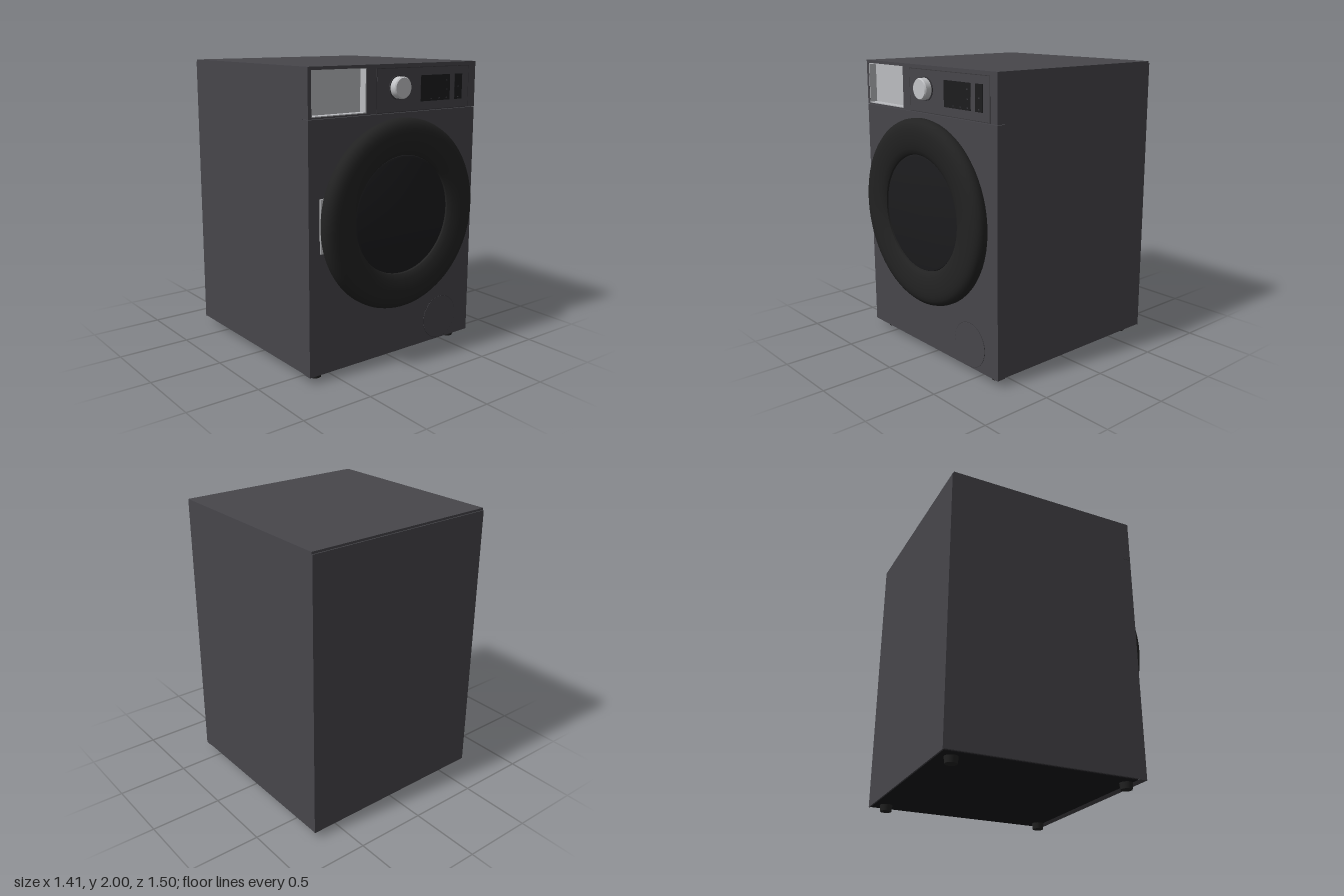
import * as THREE from 'three';
import { toCreasedNormals } from 'three/addons/utils/BufferGeometryUtils.js';

const mat = (name, color, side = THREE.FrontSide) => {
  const m = new THREE.MeshStandardMaterial({ color, side });
  m.name = name;
  return m;
};

export function createModel() {
  const casing = mat('casing grey', 0x47464b);
  const black = mat('door black', 0x222222);
  const glass = mat('glass black', 0x1c1c1e);
  const underside = mat('underside black', 0x18181a);
  const silver = mat('silver', 0xc4c5c8);
  const light = mat('drawer grey', 0xbbbcc0);
  const seam = mat('seam', 0x38373b);

  const group = new THREE.Group();
  group.name = 'washingMachine';
  const add = (name, geo, material, x = 0, y = 0, z = 0) => {
    const mesh = new THREE.Mesh(geo, material);
    mesh.name = name;
    mesh.position.set(x, y, z);
    group.add(mesh);
    return mesh;
  };
  // Box given by its limits
  const box = (name, material, x0, x1, y0, y1, z0, z1) =>
    add(name, new THREE.BoxGeometry(x1 - x0, y1 - y0, z1 - z0), material,
      (x0 + x1) / 2, (y0 + y1) / 2, (z0 + z1) / 2);
  const rect = (P, x0, x1, y0, y1) => new P([
    new THREE.Vector2(x0, y0), new THREE.Vector2(x1, y0),
    new THREE.Vector2(x1, y1), new THREE.Vector2(x0, y1)]);
  // Rectangular frame with a rectangular hole
  const frame = (name, material, outer, inner, z0, z1) => {
    const shape = rect(THREE.Shape, ...outer);
    shape.holes.push(rect(THREE.Path, ...inner));
    return add(name, new THREE.ExtrudeGeometry(shape,
      { depth: z1 - z0, bevelEnabled: false }), material, 0, 0, z0);
  };
  // Turned part whose axis points to the front; profile is [radius, z]
  const turned = (name, material, profile, x, y, segments = 72) => {
    const geo = new THREE.LatheGeometry(profile.map(p => new THREE.Vector2(...p)), segments);
    geo.rotateX(Math.PI / 2);
    return add(name, toCreasedNormals(geo, 0.6), material, x, y, 0);
  };

  // Cabinet
  box('cabinet', casing, -0.705, 0.705, 0.05, 2, -0.742, 0.585);
  box('backPanel', casing, -0.705, 0.705, 0.045, 1.985, -0.75, -0.742);
  box('lowerFront', casing, -0.705, 0.705, 0.045, 1.687, 0.585, 0.645);
  frame('upperFront', casing, [-0.705, 0.705, 1.69, 2], [-0.68, -0.26, 1.7, 1.98], 0.585, 0.645);
  box('basePlate', underside, -0.69, 0.69, 0.044, 0.05, -0.74, 0.584);

  // Detergent drawer recess
  frame('drawerLining', light, [-0.68, -0.26, 1.7, 1.98], [-0.674, -0.266, 1.706, 1.974], 0.587, 0.644);
  box('drawerBack', light, -0.68, -0.26, 1.7, 1.98, 0.585, 0.59);

  // Control panel with its outline
  frame('panelSeam', seam, [-0.18, 0.64, 1.692, 1.975], [-0.176, 0.636, 1.696, 1.971], 0.643, 0.6465);
  box('controlPanel', casing, -0.176, 0.636, 1.696, 1.971, 0.643, 0.647);
  box('display', glass, 0.195, 0.46, 1.75, 1.92, 0.645, 0.65);
  box('startPanel', glass, 0.505, 0.575, 1.75, 1.92, 0.645, 0.65);
  const dots = [[0.29, 1.765], [0.36, 1.765], [0.43, 1.765], [0.43, 1.82], [0.43, 1.88], [0.54, 1.765], [0.54, 1.835]];
  for (const [x, y] of dots)
    box('button', seam, x - 0.007, x + 0.007, y - 0.004, y + 0.004, 0.649, 0.651);

  // Programme knob
  turned('knobRing', seam, [[0, 0.645], [0.078, 0.645], [0.078, 0.653], [0, 0.653]], 0, 1.85, 40);
  turned('knob', silver, [[0.071, 0.65], [0.071, 0.693], [0.064, 0.701], [0, 0.701]], 0, 1.85, 40);

  // Door: rounded ring around a sunken window
  turned('doorRing', black, [
    [0, 0.655], [0.615, 0.655], [0.629, 0.661], [0.635, 0.675], [0.635, 0.697],
    [0.629, 0.715], [0.615, 0.731], [0.595, 0.742], [0.57, 0.748], [0.54, 0.75],
    [0.505, 0.749], [0.47, 0.745], [0.435, 0.737], [0.41, 0.728], [0.398, 0.718],
    [0.395, 0.7]], 0, 1.025, 96);
  turned('doorWindow', glass, [[0.396, 0.7], [0.392, 0.709], [0.38, 0.712], [0, 0.712]], 0, 1.025, 96);
  turned('doorSeal', black, [[0.37, 0.645], [0.37, 0.656]], 0, 1.025);
  box('hingePlate', silver, -0.623, -0.37, 0.85, 1.2, 0.645, 0.654);

  // Filter cover
  turned('filterSeam', seam, [[0.155, 0.644], [0.155, 0.646], [0.152, 0.646]], 0.425, 0.205);
  turned('filterCover', casing, [[0.152, 0.644], [0.152, 0.648], [0, 0.648]], 0.425, 0.205);

  // Feet
  for (const x of [-0.6, 0.6])
    for (const z of [-0.655, 0.555])
      add('foot', new THREE.CylinderGeometry(0.045, 0.039, 0.05, 24), black, x, 0.025, z);

  return group;
}
